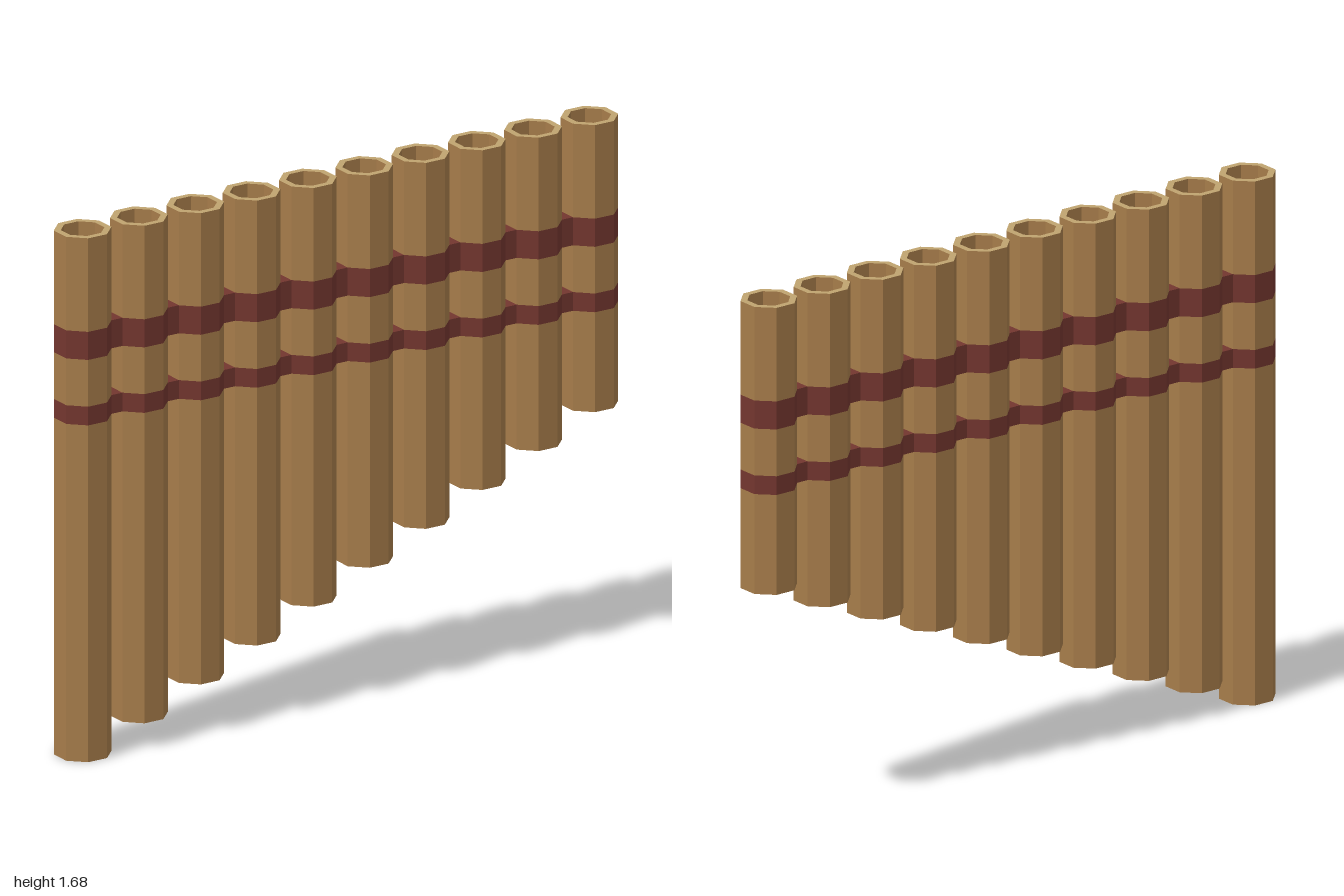
import * as THREE from 'three';

const COUNT = 10;
const TOP = 1.68;
const APOTHEM = 0.082;
const BORE = 0.062;
const SPACING = (2 - 2 * APOTHEM) / (COUNT - 1);
const STEP = 0.0844; // each pipe is this much shorter than the last
const BANDS = [[1.08, 1.14], [1.29, 1.38]];

const material = (color) => new THREE.MeshStandardMaterial({ color, flatShading: true });
const wood = material(0xa67c4a);
const cutWood = material(0xc0a470);
const cord = material(0x73362f);

// Eight-sided surface swept from [apothem, y] points, flats facing x and z
function octagon(name, points, mat) {
  const k = 1 / Math.cos(Math.PI / 8);
  const profile = points.map(([a, y]) => new THREE.Vector2(a * k, y));
  const mesh = new THREE.Mesh(new THREE.LatheGeometry(profile, 8, Math.PI / 8), mat);
  mesh.name = name;
  return mesh;
}

function createPipe(bottom) {
  const pipe = new THREE.Group();
  const [low, high] = BANDS;

  // Outer wall, divided where the flush bands wrap around it
  pipe.add(
    octagon('lowerTube', [[0, bottom], [APOTHEM, bottom], [APOTHEM, low[0]]], wood),
    octagon('middleTube', [[APOTHEM, low[1]], [APOTHEM, high[0]]], wood),
    octagon('upperTube', [[APOTHEM, high[1]], [APOTHEM, TOP]], wood)
  );
  for (const [y0, y1] of BANDS) {
    pipe.add(octagon('band', [[APOTHEM, y0], [APOTHEM, y1]], cord));
  }

  // Pale cut rim and the hollow bore with its closed floor
  pipe.add(
    octagon('rim', [[APOTHEM, TOP], [BORE, TOP]], cutWood),
    octagon('bore', [[BORE, TOP], [BORE, bottom + 0.02], [0, bottom + 0.02]], wood)
  );
  return pipe;
}

export function createModel() {
  const model = new THREE.Group();
  model.name = 'panPipes';

  for (let i = 0; i < COUNT; i++) {
    const x = -1 + APOTHEM + i * SPACING;
    const pipe = createPipe(i * STEP);
    pipe.name = `pipe${i + 1}`;
    pipe.position.x = x;
    model.add(pipe);

    // Ties bridging the gap to the next pipe
    if (i === COUNT - 1) continue;
    for (const [y0, y1] of BANDS) {
      const width = SPACING - 2 * APOTHEM;
      const tie = new THREE.Mesh(new THREE.BoxGeometry(width, y1 - y0, 0.068), cord);
      tie.name = 'tie';
      tie.position.set(x + SPACING / 2, (y0 + y1) / 2, 0);
      model.add(tie);
    }
  }
  return model;
}
